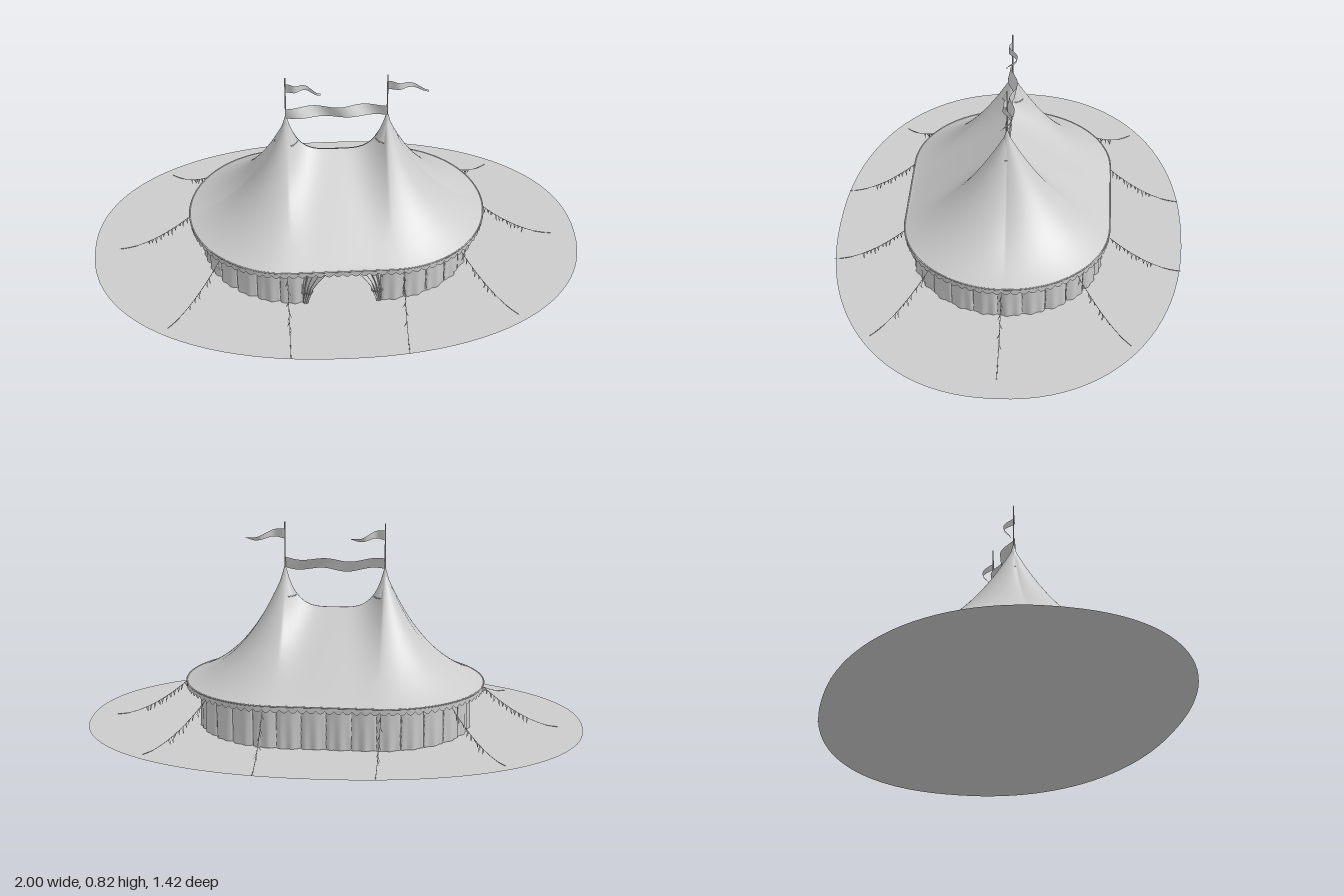
import * as THREE from 'three';
import { ParametricGeometry } from 'three/addons/geometries/ParametricGeometry.js';

const material = new THREE.MeshStandardMaterial({ color: 0xcccccc, side: THREE.DoubleSide });
const mix = THREE.MathUtils.lerp;

function addMesh(parent, name, geometry) {
  const mesh = new THREE.Mesh(geometry, material);
  mesh.name = name;
  parent.add(mesh);
  return mesh;
}

// Surface from a rule: fn(u, v) returns [x, y, z]
function surface(nu, nv, fn) {
  return new ParametricGeometry((u, v, target) => target.set(...fn(u, v)), nu, nv);
}

// Walk round a stadium outline, t = 0..1 from the front centre towards +x.
// Returns the spine point cx and the offset (dx, dz) from it.
function stadium(t, half, rx, rz) {
  const arc = Math.PI * (rx + rz) / 2;
  const total = 4 * half + 2 * arc;
  let d = t * total;
  if (d < half) return { cx: d, dx: 0, dz: rz };
  d -= half;
  if (d < arc) {
    const a = d / arc * Math.PI;
    return { cx: half, dx: Math.sin(a) * rx, dz: Math.cos(a) * rz };
  }
  d -= arc;
  if (d < 2 * half) return { cx: half - d, dx: 0, dz: -rz };
  d -= 2 * half;
  if (d < arc) {
    const a = d / arc * Math.PI;
    return { cx: -half, dx: -Math.sin(a) * rx, dz: -Math.cos(a) * rz };
  }
  return { cx: -half + d - arc, dx: 0, dz: rz };
}

const HALF = 0.2, RX = 0.4, RZ = 0.41, EAVE = 0.18, PEAK = 0.63;

// Canvas roof: two concave peaks joined by a sagging ridge
function roofPoint(u, v) {
  const { cx, dx, dz } = stadium(u, HALF, RX, RZ);
  const s = Math.max(1 - v, 0.004);
  const near = Math.abs(cx / HALF);
  const ridge = 0.48 + (PEAK - 0.48) * near ** 4;
  const cone = (1 - s) * Math.exp(-s * mix(1.3, 0.7, Math.abs(dz) / RZ));
  const slope = mix((1 - s) ** 1.1, cone, near ** 3);
  return [cx + dx * s, EAVE + (ridge - EAVE) * slope, dz * s];
}

// Scalloped valance hanging from the eave
function valancePoint(u, v) {
  const { cx, dx, dz } = stadium(u, HALF, RX, RZ);
  const bottom = 0.166 - 0.012 * Math.abs(Math.sin(u * Math.PI * 96));
  return [cx + dx, mix(bottom, EAVE, v), dz];
}

// Side wall: billowing panels between seams, open at the front centre
const WALL_HALF = 0.165, WALL_R = 0.375, GAP = 0.05;
function wallPoint(u, v) {
  const t = mix(GAP, 1 - GAP, u);
  const { cx, dx, dz } = stadium(t, WALL_HALF, WALL_R, WALL_R);
  const billow = 0.012 * Math.sqrt(Math.abs(Math.sin(u * Math.PI * 28)))
    + 0.003 * (1 - v) * Math.sin(u * Math.PI * 116);
  const k = 1 + (billow - 0.004) / WALL_R;
  return [cx + dx * k, 0.002 + 0.175 * v, dz * k];
}

// Entrance curtain, gathered to one side by a tie
function curtainPoint(side) {
  const outer = 0.158;
  return (u, v) => {
    const inner = v < 0.3
      ? mix(0.137, 0.118, v / 0.3)
      : mix(0.118, 0.03, ((v - 0.3) / 0.7) ** 1.5);
    const x = side > 0 ? mix(inner, outer, u) : mix(-outer, -inner, u);
    const w = side > 0 ? u : 1 - u;
    const depth = 0.006 + 0.006 * Math.min(1, Math.abs(v - 0.3) * 4);
    return [x, 0.002 + 0.175 * v, 0.378 + depth * Math.sin(w * Math.PI * 8)];
  };
}

// Rope from the eave to the ground with a row of small pennants
function guyLine(ax, az, bx, bz) {
  const group = new THREE.Group();
  group.name = 'guyLine';
  const at = s => new THREE.Vector3(mix(ax, bx, s), 0.002 + 0.158 * (1 - s) ** 1.7, mix(az, bz, s));
  const points = [];
  for (let i = 0; i <= 8; i++) points.push(at(i / 8));
  addMesh(group, 'rope', new THREE.TubeGeometry(new THREE.CatmullRomCurve3(points), 16, 0.0012, 5));

  const across = new THREE.Vector3(bz - az, 0, ax - bx).normalize();
  const corners = [];
  const count = 11;
  for (let i = 0; i < count; i++) {
    const s = 0.04 + 0.55 * i / (count - 1);
    const a = at(s - 0.018), b = at(s + 0.018);
    const tip = at(s + 0.012 * Math.sin(i * 2.4));
    tip.addScaledVector(across, 0.012 * Math.sin(i * 1.7 + ax * 9));
    tip.y -= 0.024;
    corners.push(a, tip, b);
  }
  const flags = new THREE.BufferGeometry().setFromPoints(corners);
  flags.computeVertexNormals();
  addMesh(group, 'pennants', flags);
  return group;
}

export function createModel() {
  const model = new THREE.Group();
  model.name = 'circusTent';

  // Oval ground, slightly fuller than an ellipse
  const outline = [];
  for (let i = 0; i < 96; i++) {
    const a = i / 96 * Math.PI * 2, c = Math.cos(a), s = Math.sin(a);
    const p = 2 / 2.2;
    outline.push(new THREE.Vector2(
      Math.sign(c) * Math.abs(c) ** p, 0.71 * Math.sign(s) * Math.abs(s) ** p));
  }
  addMesh(model, 'ground', new THREE.ShapeGeometry(new THREE.Shape(outline)).rotateX(-Math.PI / 2));

  // Tent body
  addMesh(model, 'roof', surface(192, 28, roofPoint));
  addMesh(model, 'valance', surface(96 * 6, 2, valancePoint));
  addMesh(model, 'wall', surface(28 * 18, 5, wallPoint));
  for (const side of [-1, 1]) {
    addMesh(model, 'entranceCurtain', surface(40, 16, curtainPoint(side)));
    const tie = addMesh(model, 'curtainTie', new THREE.TorusGeometry(0.021, 0.003, 6, 20));
    tie.rotation.x = Math.PI / 2;
    tie.scale.y = 0.65;
    tie.position.set(side * 0.138, 0.055, 0.378);
  }

  // Eave trim cord
  const eave = [];
  for (let i = 0; i < 80; i++) {
    const { cx, dx, dz } = stadium(i / 80, HALF, RX, RZ);
    eave.push(new THREE.Vector3(cx + dx, EAVE, dz));
  }
  addMesh(model, 'eaveTrim', new THREE.TubeGeometry(
    new THREE.CatmullRomCurve3(eave, true), 160, 0.003, 6, true));

  // Peak caps, poles and pennant flags
  const capProfile = [[0.046, 0.522], [0.044, 0.53], [0.029, 0.56], [0.016, 0.594], [0.008, 0.622], [0.003, 0.64]]
    .map(([r, y]) => new THREE.Vector2(r, y));
  for (const side of [-1, 1]) {
    const cap = addMesh(model, 'peakCap', new THREE.LatheGeometry(capProfile, 32));
    cap.position.x = side * HALF;
    const rim = addMesh(model, 'capRim', new THREE.TorusGeometry(0.045, 0.002, 6, 32));
    rim.rotation.x = Math.PI / 2;
    rim.position.set(side * HALF, 0.526, 0);
    const pole = addMesh(model, 'pole', new THREE.CylinderGeometry(0.0025, 0.0025, 0.82, 8));
    pole.position.set(side * HALF, 0.41, 0);

    const length = side > 0 ? 0.16 : 0.137;
    addMesh(model, 'flag', surface(24, 4, (u, v) => [
      side * HALF + u * length,
      0.772 - 0.02 * u + 0.006 * Math.sin(u * 6) + (v - 0.5) * 0.04 * (1 - 0.92 * u),
      0.02 * Math.sin(u * 7.5 + (side > 0 ? 0 : 0.5) * u) * Math.min(1, u * 3) - 0.006 * v * u,
    ]));
  }

  // Rippling banner between the poles
  addMesh(model, 'banner', surface(40, 4, (u, v) => [
    mix(-HALF, HALF, u),
    0.657 - 0.006 * Math.sin(u * Math.PI) + 0.004 * Math.sin(u * Math.PI * 4) + (v - 0.5) * 0.042,
    -0.008 * Math.sin(u * Math.PI) + 0.014 * Math.sin(u * Math.PI * 4 + v * 0.9) - 0.012 * (v - 0.5),
  ]));

  // Guy lines: four straight out front and back, four diagonal, two at the ends
  for (const sx of [-1, 1]) {
    model.add(guyLine(sx * 0.6, 0, sx * 0.9, 0));
    for (const sz of [-1, 1]) {
      const x = sx > 0 ? 0.24 : -0.215;
      model.add(guyLine(x, sz * 0.41, x, sz * 0.7));
      model.add(guyLine(sx * 0.48, sz * 0.29, sx * 0.69, sz * 0.5));
    }
  }
  return model;
}
